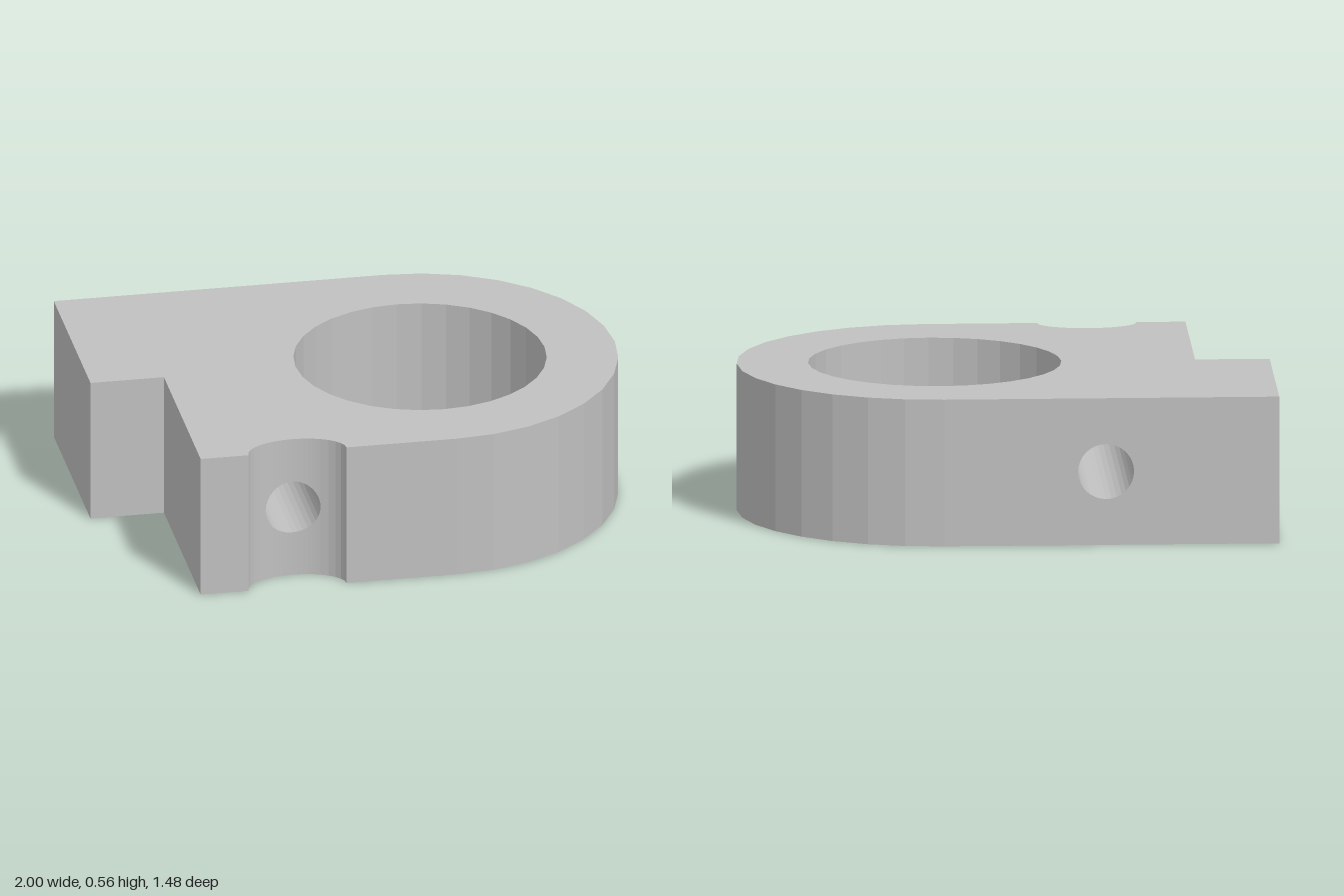
import * as THREE from 'three';

const H = 0.56, HALF = 0.742;               // block height, half depth
const BORE_X = 0.257, BORE_R = 0.475;       // large vertical bore
const PIN_X = -0.35, PIN_Y = 0.28, PIN_R = 0.105; // cross hole along z
const SCOOP_W = 0.187, SCOOP_D = 0.11;      // half-elliptic scoop in the front
const SIDES = 32;

const scoopZ = (x) => HALF - SCOOP_D * Math.sqrt(Math.max(0, 1 - ((x - PIN_X) / SCOOP_W) ** 2));
const pinHalfHeight = (x) => Math.sqrt(Math.max(0, PIN_R ** 2 - (x - PIN_X) ** 2));

// Flat-shaded geometry from quads (corners counter-clockwise from outside)
function quadGeometry(quads) {
  const pos = quads.flatMap(([a, b, c, d]) => [a, b, c, a, c, d].flat());
  const g = new THREE.BufferGeometry();
  g.setAttribute('position', new THREE.Float32BufferAttribute(pos, 3));
  g.computeVertexNormals();
  return g;
}

// Upright walls along [x, z] points, left open where the cross hole passes
function wallGeometry(points, closed) {
  const quads = [];
  const add = (a, b, la, lb, ha, hb) => quads.push([
    [a[0], la, a[1]], [a[0], ha, a[1]], [b[0], hb, b[1]], [b[0], lb, b[1]]]);
  const n = closed ? points.length : points.length - 1;
  for (let i = 0; i < n; i++) {
    const a = points[i], b = points[(i + 1) % points.length];
    const pa = pinHalfHeight(a[0]), pb = pinHalfHeight(b[0]);
    if (pa + pb < 1e-6) {
      add(a, b, 0, 0, H, H);
    } else {
      add(a, b, 0, 0, PIN_Y - pa, PIN_Y - pb);
      add(a, b, PIN_Y + pa, PIN_Y + pb, H, H);
    }
  }
  return quadGeometry(quads);
}

export function createModel() {
  const group = new THREE.Group();
  const metal = new THREE.MeshStandardMaterial({ color: 0xc0c0c0 });
  metal.name = 'light grey metal';
  const add = (name, geometry) => {
    const mesh = new THREE.Mesh(geometry, metal);
    mesh.name = name;
    group.add(mesh);
    return mesh;
  };

  // Columns across the cross hole, and across the scoop, from -x to +x
  const pinXs = [], scoopXs = [];
  for (let i = 0; i <= SIDES / 2; i++) {
    const c = -Math.cos((i / (SIDES / 2)) * Math.PI);
    pinXs.push(PIN_X + PIN_R * c);
    if (Math.abs(SCOOP_W * c) > PIN_R + 0.005) scoopXs.push(PIN_X + SCOOP_W * c);
  }
  scoopXs.push(...pinXs);
  scoopXs.sort((a, b) => a - b);

  // Outline seen from above, clockwise from the back right corner
  const outline = [[-1, -HALF], ...pinXs.map((x) => [x, -HALF])];
  for (let i = 0; i <= SIDES / 2; i++) {
    const t = (i / (SIDES / 2)) * Math.PI;
    outline.push([BORE_X + (1 - BORE_X) * Math.sin(t), -HALF * Math.cos(t)]);
  }
  outline.push(...scoopXs.reverse().map((x) => [x, scoopZ(x)]));
  outline.push([-0.72, HALF], [-0.72, 0], [-1, 0]);

  const bore = [];
  for (let i = 0; i < SIDES; i++) {
    const t = -(i / SIDES) * Math.PI * 2;
    bore.push([BORE_X + BORE_R * Math.cos(t), BORE_R * Math.sin(t)]);
  }

  add('outerWall', wallGeometry(outline, true));
  add('boreWall', wallGeometry(bore, true));

  // Top and bottom faces
  for (const s of [1, -1]) {
    const toShape = (pts) => pts.map(([x, z]) => new THREE.Vector2(x, -s * z));
    const shape = new THREE.Shape(toShape(outline));
    shape.holes.push(new THREE.Path(toShape(bore)));
    const g = new THREE.ShapeGeometry(shape);
    g.rotateX((-s * Math.PI) / 2);
    if (s > 0) g.translate(0, H, 0);
    add(s > 0 ? 'topFace' : 'bottomFace', g);
  }

  // Cross hole from the back wall to the scoop surface
  const rim = (i) => {
    const t = (i / SIDES) * Math.PI * 2;
    return [PIN_X + PIN_R * Math.cos(t), PIN_Y + PIN_R * Math.sin(t)];
  };
  const tube = [];
  for (let i = 0; i < SIDES; i++) {
    const a = rim(i), b = rim(i + 1);
    tube.push([[...a, -HALF], [...a, scoopZ(a[0])], [...b, scoopZ(b[0])], [...b, -HALF]]);
  }
  add('crossHole', quadGeometry(tube));

  return group;
}
